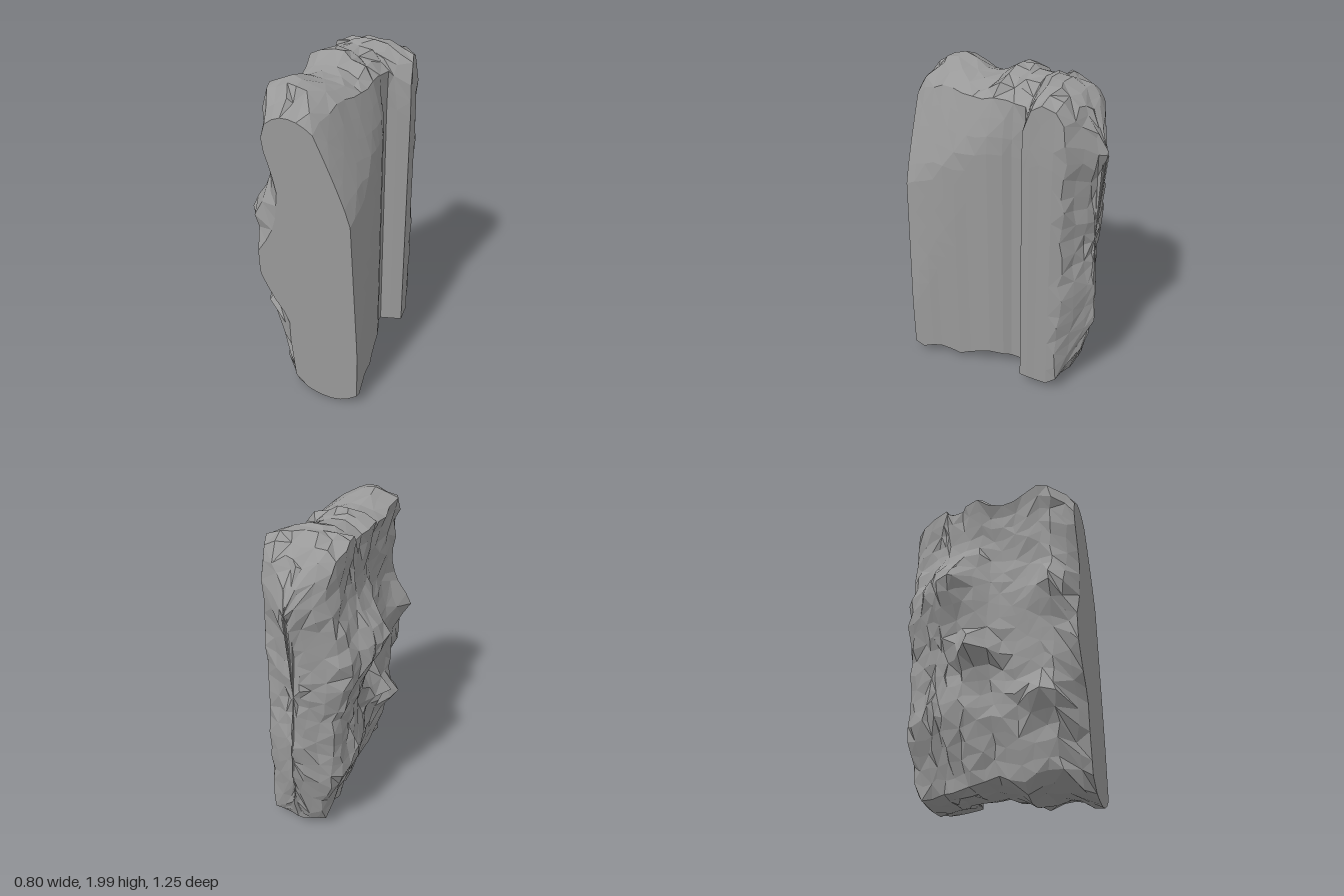
import * as THREE from 'three';

// Small seeded noise, -1..1
let seed = 7;
const rnd = () => {
  seed = (seed * 16807) % 2147483647;
  return (seed / 2147483647) * 2 - 1;
};
const { lerp, smoothstep, clamp } = THREE.MathUtils;

// Piecewise linear lookup in [[key, value], ...]
function look(table, k) {
  if (k <= table[0][0]) return table[0][1];
  for (let i = 1; i < table.length; i++) {
    const [k0, v0] = table[i - 1], [k1, v1] = table[i];
    if (k <= k1) return lerp(v0, v1, (k - k0) / (k1 - k0));
  }
  return table[table.length - 1][1];
}

// Slices front to back: z, right x low, right x at shoulder, shoulder y, top y, bottom y, shift of left side
const SLICES = [
  [0.59, 0.41, 0.17, 1.76, 1.83, 0.01, 0],
  [0.53, 0.395, 0.17, 1.81, 1.90, 0.02, 0.01],
  [0.45, 0.375, 0.18, 1.83, 1.95, 0.05, 0],
  [0.38, 0.355, 0.18, 1.86, 1.98, 0.06, 0],
  [0.30, 0.335, 0.18, 1.86, 1.95, 0.05, 0],
  [0.22, 0.315, 0.19, 1.85, 1.92, 0.03, 0],
  [0.14, 0.29, 0.19, 1.85, 1.92, 0.06, 0],
  [0.07, 0.27, 0.19, 1.85, 1.94, 0.08, 0],
  [0.00, 0.25, 0.18, 1.87, 2.00, 0.10, -0.02],
  [-0.08, 0.21, 0.165, 1.87, 1.99, 0.09, -0.03],
  [-0.12, 0.175, 0.155, 1.86, 1.97, 0.08, -0.03],
  [-0.20, 0.155, 0.16, 1.86, 1.97, 0.07, -0.03],
  [-0.225, 0.21, 0.18, 1.83, 1.98, 0.07, -0.03],
  [-0.26, 0.28, 0.275, 1.78, 2.00, 0.07, -0.03],
  [-0.30, 0.267, 0.26, 1.90, 2.00, 0.06, -0.03],
  [-0.35, 0.25, 0.235, 1.93, 1.98, 0.05, -0.03],
  [-0.42, 0.228, 0.21, 1.90, 1.95, 0.04, -0.03],
  [-0.48, 0.2, 0.185, 1.82, 1.90, 0.09, -0.01],
  [-0.53, 0.12, 0.10, 1.80, 1.86, 0.14, 0.05],
  [-0.58, 0.05, 0.04, 1.73, 1.78, 0.26, 0.12],
  [-0.61, 0.0, 0.0, 1.63, 1.68, 0.4, 0.17],
];
// Left edge of the cut front face, and of the rough body behind it
const FACE_LEFT = [[0.03, 0.13], [0.1, 0.03], [0.4, 0.0], [0.55, 0.0], [0.7, -0.1], [0.85, -0.17],
  [1.0, -0.17], [1.1, -0.1], [1.2, -0.06], [1.4, -0.04], [1.55, -0.08], [1.68, -0.12], [1.78, -0.09], [1.83, -0.04]];
const BODY_LEFT = [[0.05, -0.08], [0.3, -0.13], [0.5, -0.17], [0.7, -0.16], [0.9, -0.18], [1.1, -0.19],
  [1.4, -0.16], [1.6, -0.16], [1.8, -0.17], [1.93, -0.19]];
// How far the back ridge stands out at each height
const BACK = [[0.1, 0.3], [0.3, 0.6], [0.55, 0.95], [0.8, 0.85], [1.05, 0.6], [1.2, 0.7], [1.35, 0.6],
  [1.5, 0.75], [1.63, 1.12], [1.75, 0.85], [1.88, 0.5]];
// Jagged lumps on the left side: z, y, height, radius
const LUMPS = [[-0.13, 1.37, 0.15, 0.18], [0.0, 0.9, 0.19, 0.12], [0.5, 1.2, 0.16, 0.15], [0.35, 0.57, 0.11, 0.13],
  [-0.3, 1.27, 0.13, 0.38], [-0.28, 0.6, 0.08, 0.3], [0.1, 1.93, 0.04, 0.12]];

function leftX(z, y, shift, isFace) {
  if (isFace) return look(FACE_LEFT, y);
  const x = lerp(look(BODY_LEFT, y) + shift, look(FACE_LEFT, y), smoothstep(z, 0.45, 0.6));
  return LUMPS.reduce((s, [lz, ly, h, r]) => {
    const d = Math.hypot(z - lz, y - ly) / r;
    return s - h * Math.max(0, 1 - d * 0.7) ** 1.5;
  }, x);
}

const RIGHT_STEPS = 17, LEFT_STEPS = 22, CROSS = 6;

// One closed outline: up the right side, over the top, down the left, along the bottom
function outline([z, xr, xt, shoulder, top, bot, shift], index) {
  const isFace = index === 0, pts = [];
  const rough = isFace ? 0 : z < -0.5 ? 0.01 : 0.014;
  const shear = -0.224 * smoothstep(z, -0.05, 0.59);
  const add = (x, y, n) => {
    const px = x + rnd() * n, py = clamp(y + rnd() * n, 0.01, 2);
    const pz = z < -0.47 ? -0.47 + (z + 0.47) * look(BACK, py) : z;
    pts.push([px, py, pz + shear * px + rnd() * n * 1.1]);
  };

  // The wall leans in higher up towards the back
  const front = clamp(z / 0.59, 0, 1);
  const leanFrom = lerp(1.62, 1.27, front), taperFrom = lerp(1.5, 0.4, front);
  const rLow = bot + (isFace ? 0.07 : 0.03);
  for (let i = 0; i <= RIGHT_STEPS; i++) {
    const y = lerp(rLow, shoulder, i / RIGHT_STEPS);
    const lean = Math.max(0, (y - leanFrom) / (shoulder - leanFrom)) ** 1.15;
    const taper = 0.045 * front * clamp((y - taperFrom) / 0.9, 0, 1) * (1 - lean);
    add(lerp(xr, xt, lean) - taper, y, z < -0.44 ? rough : 0);
  }

  const lHigh = top - 0.05, lLow = bot + (z > 0 && z < 0.5 ? 0.09 : 0.04);
  const xTopL = leftX(z, lHigh, shift, isFace), xBotL = leftX(z, lLow, shift, isFace);
  for (let i = 1; i < CROSS; i++) {
    const t = i / CROSS;
    const drop = t < 0.6 ? (top - shoulder) * (1 - t / 0.6) ** 2 : 0.05 * ((t - 0.6) / 0.4) ** 2;
    add(lerp(xt, xTopL, t), top - drop, rough);
  }
  for (let i = 0; i <= LEFT_STEPS; i++) {
    const y = lerp(lHigh, lLow, i / LEFT_STEPS);
    add(leftX(z, y, shift, isFace), y, rough);
  }
  for (let i = 1; i < CROSS; i++) {
    const t = i / CROSS;
    const rise = t < 0.5 ? lLow - bot : rLow - bot;
    add(lerp(xBotL, xr, t), bot + rise * (2 * t - 1) ** 2, rough);
  }
  return pts;
}

export function createModel() {
  seed = 7;
  const loops = SLICES.map(outline);
  const n = loops[0].length, last = loops.length - 1;
  const pos = loops.flat(2), idx = [];

  // Skin between neighbouring slices
  for (let i = 0; i < last; i++) {
    for (let j = 0; j < n; j++) {
      const k = (j + 1) % n;
      const a = i * n + j, b = (i + 1) * n + j, c = (i + 1) * n + k, d = i * n + k;
      if ((i + j) % 2) idx.push(a, b, c, a, c, d);
      else idx.push(a, b, d, b, c, d);
    }
  }
  // Flat cut face in front, narrow ridge at the back
  const front = pos.length / 3;
  pos.push(0.17, 0.9, 0.59 - 0.224 * 0.17, -0.01, 1.1, -0.57);
  for (let j = 0; j < n; j++) {
    const k = (j + 1) % n;
    idx.push(front, j, k, front + 1, last * n + k, last * n + j);
  }

  const indexed = new THREE.BufferGeometry();
  indexed.setAttribute('position', new THREE.Float32BufferAttribute(pos, 3));
  indexed.setIndex(idx);
  const geometry = indexed.toNonIndexed();
  geometry.computeVertexNormals();

  const rock = new THREE.Mesh(geometry, new THREE.MeshStandardMaterial({ color: 0x999999, flatShading: true }));
  rock.name = 'rockSlab';
  const group = new THREE.Group();
  group.name = 'brokenRock';
  group.add(rock);
  return group;
}
